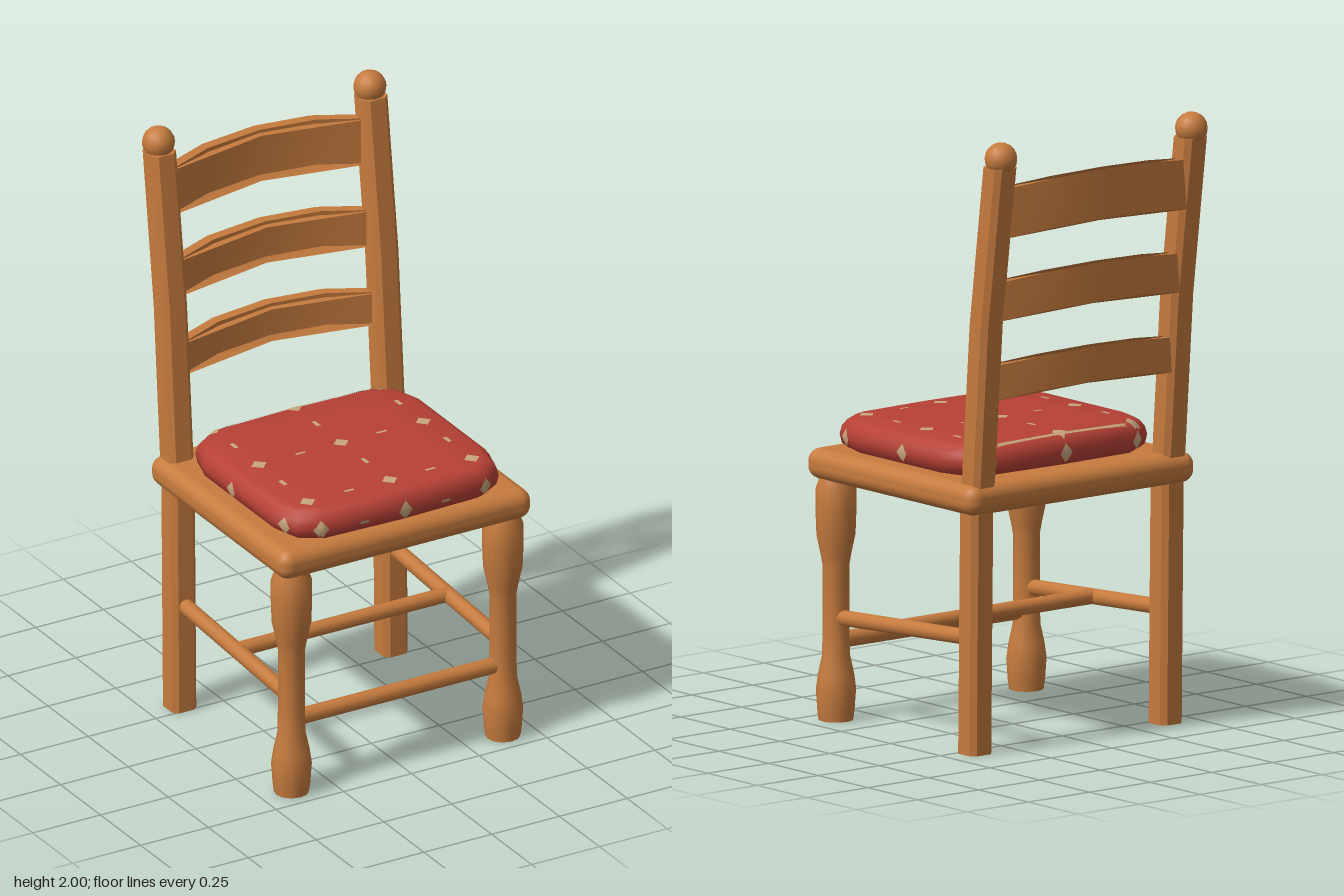
import * as THREE from 'three';
import { toCreasedNormals } from 'three/addons/utils/BufferGeometryUtils.js';
import { RoundedBoxGeometry } from 'three/addons/geometries/RoundedBoxGeometry.js';

const V = (x, y, z) => new THREE.Vector3(x, y, z);

// Closed skin over rings of points, listed from bottom to top
function loft(rings, crease) {
  const n = rings[0].length, pos = [], index = [];
  rings.forEach(r => r.forEach(p => pos.push(p.x, p.y, p.z)));
  for (let i = 0; i < rings.length - 1; i++)
    for (let j = 0; j < n; j++) {
      const k = (j + 1) % n, a = i * n + j, c = i * n + k;
      index.push(a, a + n, c, c, a + n, c + n);
    }
  [rings[0], rings[rings.length - 1]].forEach((r, top) => {
    const mid = r.reduce((s, p) => s.add(p), V(0, 0, 0)).divideScalar(n);
    const c = pos.length / 3, o = top ? (rings.length - 1) * n : 0;
    pos.push(mid.x, mid.y, mid.z);
    for (let j = 0; j < n; j++) {
      const k = (j + 1) % n;
      index.push(c, o + (top ? k : j), o + (top ? j : k));
    }
  });
  const g = new THREE.BufferGeometry();
  g.setAttribute('position', new THREE.Float32BufferAttribute(pos, 3));
  g.setIndex(index);
  g.computeVertexNormals();
  return toCreasedNormals(g, crease);
}

export function createModel() {
  const model = new THREE.Group();
  model.name = 'chair';
  const wood = new THREE.MeshStandardMaterial({ color: 0xc67b3e });
  wood.name = 'wood';
  const red = new THREE.MeshStandardMaterial({ color: 0xb84136 });
  red.name = 'red fabric';
  const tan = new THREE.MeshStandardMaterial({ color: 0xc8a67c, side: THREE.DoubleSide });
  tan.name = 'tan pattern';

  const add = (name, geometry, material = wood) => {
    const m = new THREE.Mesh(geometry, material);
    m.name = name;
    model.add(m);
    return m;
  };
  const rod = (name, a, b, r) => {
    const m = add(name, new THREE.CylinderGeometry(r, r, a.distanceTo(b), 10));
    m.position.copy(a).add(b).multiplyScalar(0.5);
    m.quaternion.setFromUnitVectors(V(0, 1, 0), b.clone().sub(a).normalize());
  };

  // Seat
  add('seat', new RoundedBoxGeometry(0.93, 0.1, 0.85, 3, 0.043)).position.set(0, 0.83, 0.06);

  // Turned front legs
  const legProfile = [[0, 0], [0.056, 0], [0.06, 0.03], [0.065, 0.1], [0.058, 0.15], [0.045, 0.21],
    [0.043, 0.3], [0.043, 0.5], [0.05, 0.54], [0.063, 0.6], [0.066, 0.68], [0.066, 0.75],
    [0.054, 0.785], [0, 0.785]].map(p => new THREE.Vector2(...p));
  // Bevelled square section and path of the back posts
  const h = 0.045, b = 0.028;
  const section = [[h, -b], [h, b], [b, h], [-b, h], [-h, b], [-h, -b], [-b, -h], [b, -h]];
  const postPath = [[0, -0.288], [0.8, -0.298], [0.9, -0.308], [1.4, -0.346], [1.92, -0.415]];

  for (const [side, s] of [['left', 1], ['right', -1]]) {
    const x = 0.39 * s;
    add(side + 'FrontLeg', toCreasedNormals(new THREE.LatheGeometry(legProfile, 12), 0.7))
      .position.set(x, 0, 0.41);
    add(side + 'BackPost', loft(postPath.map(([y, z]) =>
      section.map(([dx, dz]) => V(x + dx, y, z + dz))), 0.5));
    add(side + 'Finial', new THREE.SphereGeometry(0.053, 14, 10)).position.set(x, 1.947, -0.42);
    rod(side + 'Stretcher', V(x, 0.332, 0.41), V(x, 0.373, -0.29), 0.026);
  }
  rod('frontStretcher', V(-0.39, 0.256, 0.41), V(0.39, 0.256, 0.41), 0.027);
  rod('middleStretcher', V(-0.39, 0.354, 0.07), V(0.39, 0.354, 0.07), 0.025);

  // Back slats, bowed backwards and arched upwards
  const arc = [[-0.39, 0.062], [-0.2, 0.015], [0, 0], [0.2, 0.015], [0.39, 0.062]];
  for (const [name, y0, y1, z] of [['lower', 1.178, 1.29, -0.417], ['middle', 1.442, 1.567, -0.45],
    ['top', 1.717, 1.877, -0.485]]) {
    const rings = [y0, y1].map(y => {
      const row = dz => arc.map(([x, sag]) => V(x, y - sag * 0.5, z + dz + sag));
      return [...row(0), ...row(0.035).reverse()];
    });
    add(name + 'Slat', loft(rings, 0.5));
  }

  // Cushion
  const quarter = [[0.405, 0.215], [0.375, 0.313], [0.3, 0.358], [0, 0.3675]];
  const outline = [...quarter, ...quarter.slice(0, 3).reverse().map(([x, z]) => [-x, z])];
  outline.push(...quarter.map(([x, z]) => [-x, -z]),
    ...quarter.slice(0, 3).reverse().map(([x, z]) => [x, -z]));
  const cz = 0.097;
  const layers = [[0.93, 0.876], [0.985, 0.895], [1, 0.925], [0.985, 0.952], [0.95, 0.972], [0.9, 0.981], [0.6, 0.984]];
  const cushion = add('cushion', loft(layers.map(([k, y]) =>
    outline.map(([x, z]) => V(x * k, y, cz + z * k))), 1.2), red);
  cushion.updateMatrixWorld(true);

  // Pattern patches, pressed onto the cushion from the side they face
  const ray = new THREE.Raycaster();
  const patch = (name, at, turn, w, t, diamond = true) => {
    const g = new THREE.PlaneGeometry(1, 1, diamond ? 4 : 12, diamond ? 4 : 1);
    if (diamond) g.rotateZ(Math.PI / 4).scale(Math.SQRT1_2, Math.SQRT1_2, 1);
    const q = new THREE.Quaternion().setFromEuler(new THREE.Euler(...turn));
    const out = V(0, 0, 1).applyQuaternion(q);
    g.scale(w, t, 1).applyQuaternion(q);
    const p = g.attributes.position, v = V(0, 0, 0);
    const drop = start => {
      ray.set(start.clone().addScaledVector(out, 2), out.clone().negate());
      const hit = ray.intersectObject(cushion)[0];
      return hit && hit.point;
    };
    const centre = drop(at);
    for (let i = 0; i < p.count; i++) {
      v.fromBufferAttribute(p, i).add(at);
      const s = (drop(v) || centre).clone().addScaledVector(out, 0.003);
      p.setXYZ(i, s.x, s.y, s.z);
    }
    g.computeVertexNormals();
    add(name, g, tan);
  };
  const up = [-Math.PI / 2, 0, 0];
  for (const x of [-0.303, 0, 0.303]) {
    for (const z of [-0.232, 0.06, 0.363]) patch('topDiamond', V(x, 0.9, z), up, 0.056, 0.056);
    for (const z of [-0.095, 0.21]) patch('topDash', V(x, 0.9, z), up, 0.014, 0.036, false);
    patch('frontDiamond', V(x, 0.92, 0), [0, 0, 0], 0.05, 0.065);
    patch('backDiamond', V(x, 0.92, 0), [0, Math.PI, 0], 0.05, 0.065);
  }
  for (const x of [-0.15, 0.15]) {
    for (const z of [0.06, 0.363]) patch('topDash', V(x, 0.9, z), up, 0.036, 0.01, false);
    patch('frontDash', V(x, 0.915, 0), [0, 0, 0], 0.03, 0.01, false);
  }
  patch('backEdgeLine', V(0, 0.9, -0.242), up, 0.6, 0.01, false);
  for (const s of [-1, 1])
    for (const z of [0.06, 0.363]) patch('sideDiamond', V(0, 0.92, z), [0, s * Math.PI / 2, 0], 0.05, 0.06);

  return model;
}
